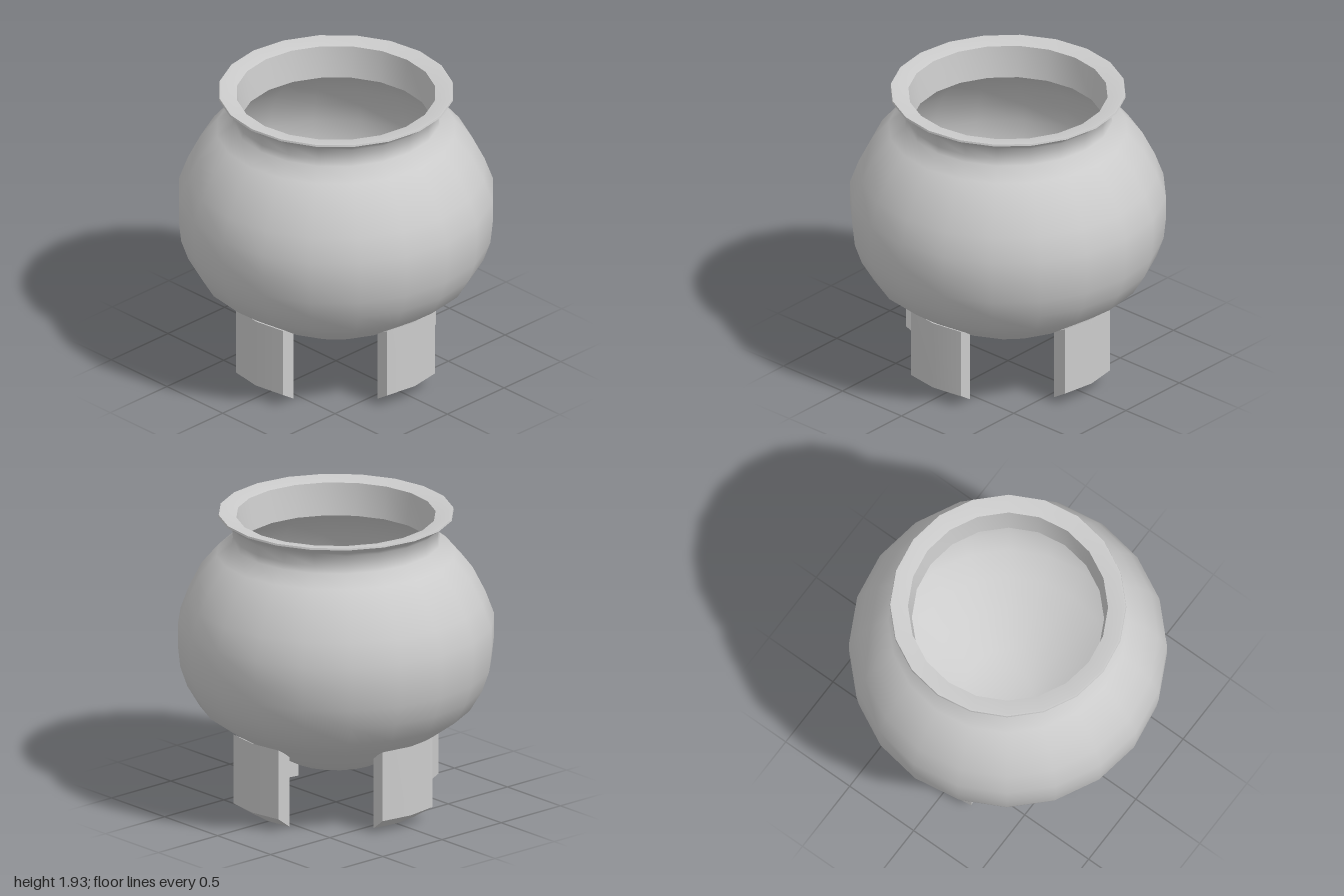
import * as THREE from 'three';
import { mergeGeometries, toCreasedNormals } from 'three/addons/utils/BufferGeometryUtils.js';

const toPoints = (list) => list.map(([r, y]) => new THREE.Vector2(r, y));

// Pot wall: up the outside, over the lip, down the inside
function potGeometry() {
  const outside = [
    [0, 0.27], [0.16, 0.28], [0.3, 0.31], [0.54, 0.44], [0.71, 0.555], [0.86, 0.665],
    [0.94, 0.8], [0.985, 0.93], [1, 1.07], [1, 1.22], [0.945, 1.37], [0.865, 1.53],
    [0.755, 1.66], [0.66, 1.735], [0.652, 1.78], [0.66, 1.85], [0.68, 1.875],
  ];
  const lip = [[0.745, 1.918], [0.742, 1.93], [0.73, 1.93], [0.63, 1.91], [0.605, 1.7]];
  const inside = [
    [0.72, 1.62], [0.82, 1.5], [0.9, 1.35], [0.95, 1.21], [0.95, 1.07], [0.935, 0.94],
    [0.895, 0.82], [0.82, 0.7], [0.68, 0.595], [0.51, 0.48], [0.28, 0.36], [0.15, 0.33], [0, 0.32],
  ];
  const lathe = new THREE.LatheGeometry(toPoints([...outside, ...lip, ...inside]), 20);
  return toCreasedNormals(lathe, 0.88);
}

// Leg: a short curved sector with a sloping foot, centred on +z
function legGeometry() {
  const half = THREE.MathUtils.degToRad(17.4);
  const section = [[0.571, 0], [0.707, 0.088], [0.707, 0.545], [0.571, 0.47]];
  const sweep = new THREE.LatheGeometry(toPoints([...section, section[0]]), 2, -half, 2 * half);

  // Flat side walls closing the sector
  const cap = (phi) => new THREE.ShapeGeometry(new THREE.Shape(toPoints(section))).rotateY(phi - Math.PI / 2);
  const start = cap(-half);
  const end = cap(half);
  end.setIndex(Array.from(end.index.array).reverse());
  return toCreasedNormals(mergeGeometries([sweep, start, end]), 0.6);
}

export function createModel() {
  const model = new THREE.Group();
  model.name = 'cauldron';
  const material = new THREE.MeshStandardMaterial({ color: 0xcccccc });

  const pot = new THREE.Mesh(potGeometry(), material);
  pot.name = 'pot';
  model.add(pot);

  // Four legs, one on each side
  const legShape = legGeometry();
  ['frontLeg', 'leftLeg', 'backLeg', 'rightLeg'].forEach((name, i) => {
    const leg = new THREE.Mesh(legShape, material);
    leg.name = name;
    leg.rotation.y = (i * Math.PI) / 2;
    model.add(leg);
  });
  return model;
}
